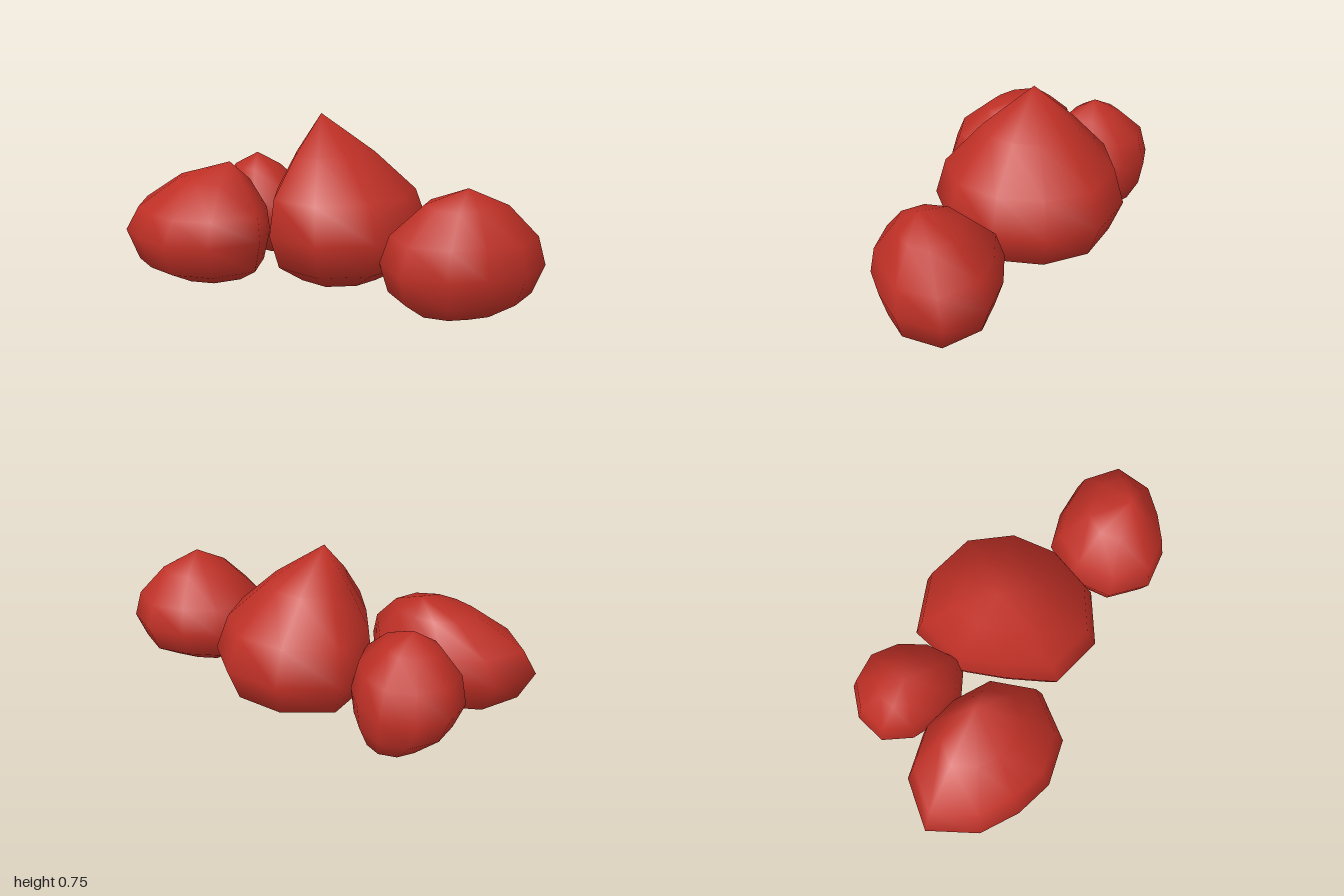
import * as THREE from 'three';

// Each boulder: radii of its widest ring at equal angles (clockwise from the back),
// ring heights, [x, z] centres of the base, widest and top rings, and the peak.
const boulders = [
  {
    name: 'centralBoulder',
    turn: -5,
    radii: [0.43, 0.41, 0.38, 0.37, 0.4, 0.43, 0.41, 0.33, 0.38, 0.455],
    heights: [0.015, 0.1, 0.25, 0.41, 0.58],
    base: [0.055, -0.02], middle: [0.07, -0.03], shoulder: [0.01, -0.025],
    peak: [-0.05, 0.75, -0.03],
  },
  {
    name: 'leftBoulder',
    turn: -4,
    radii: [0.28, 0.315, 0.34, 0.285, 0.235, 0.265, 0.32, 0.33, 0.32, 0.315],
    heights: [0.015, 0.085, 0.205, 0.325, 0.455],
    base: [0.665, 0.24], middle: [0.68, 0.23], shoulder: [0.695, 0.24],
    peak: [0.71, 0.53, 0.27],
  },
  {
    name: 'rightFrontBoulder',
    turn: -5,
    radii: [0.31, 0.295, 0.35, 0.4, 0.36, 0.305, 0.28, 0.325, 0.41, 0.36],
    heights: [0, 0.06, 0.2, 0.31, 0.44],
    base: [-0.55, 0.18], middle: [-0.6, 0.19], shoulder: [-0.53, 0.14],
    peak: [-0.47, 0.515, 0.08],
  },
  {
    name: 'rightBackBoulder',
    turn: -20,
    radii: [0.25, 0.245, 0.23, 0.245, 0.3, 0.255, 0.205, 0.215, 0.245, 0.245],
    heights: [0.01, 0.1, 0.21, 0.34, 0.44],
    base: [-0.45, -0.32], middle: [-0.495, -0.28], shoulder: [-0.5, -0.25],
    peak: [-0.5, 0.505, -0.25],
  },
];

// Ring sizes shared by all boulders, from the base up
const scales = [0.53, 0.87, 1, 0.89, 0.5];

const mix = (a, b, t) => a.map((v, i) => THREE.MathUtils.lerp(v, b[i], t));

// Smooth skin over the rings, closed by a flat base and a peak
function boulderGeometry({ turn, radii, heights, base, middle, shoulder, peak }) {
  const n = radii.length;
  const positions = [];
  const index = [];
  const centres = [base, mix(middle, base, 0.3), middle, mix(middle, shoulder, 0.3), shoulder];

  heights.forEach((y, r) => {
    const [cx, cz] = centres[r];
    radii.forEach((radius, j) => {
      const angle = THREE.MathUtils.degToRad(turn + (j * 360) / n);
      const size = radius * scales[r];
      positions.push(cx + Math.sin(angle) * size, y, cz - Math.cos(angle) * size);
    });
  });
  const bottom = heights.length * n;
  const top = bottom + 1;
  const last = bottom - n;
  positions.push(base[0], heights[0], base[1], ...peak);

  for (let j = 0; j < n; j++) {
    const k = (j + 1) % n;
    index.push(bottom, j, k);
    for (let r = 0; r < last; r += n) {
      index.push(r + j, r + n + j, r + n + k, r + j, r + n + k, r + k);
    }
    index.push(last + j, top, last + k);
  }
  const geometry = new THREE.BufferGeometry();
  geometry.setAttribute('position', new THREE.Float32BufferAttribute(positions, 3));
  geometry.setIndex(index);
  geometry.computeVertexNormals();
  return geometry;
}

export function createModel() {
  const group = new THREE.Group();
  group.name = 'boulderCluster';
  const redStone = new THREE.MeshStandardMaterial({ color: 0xbf3026 });
  redStone.name = 'redStone';
  for (const boulder of boulders) {
    const mesh = new THREE.Mesh(boulderGeometry(boulder), redStone);
    mesh.name = boulder.name;
    group.add(mesh);
  }
  return group;
}
